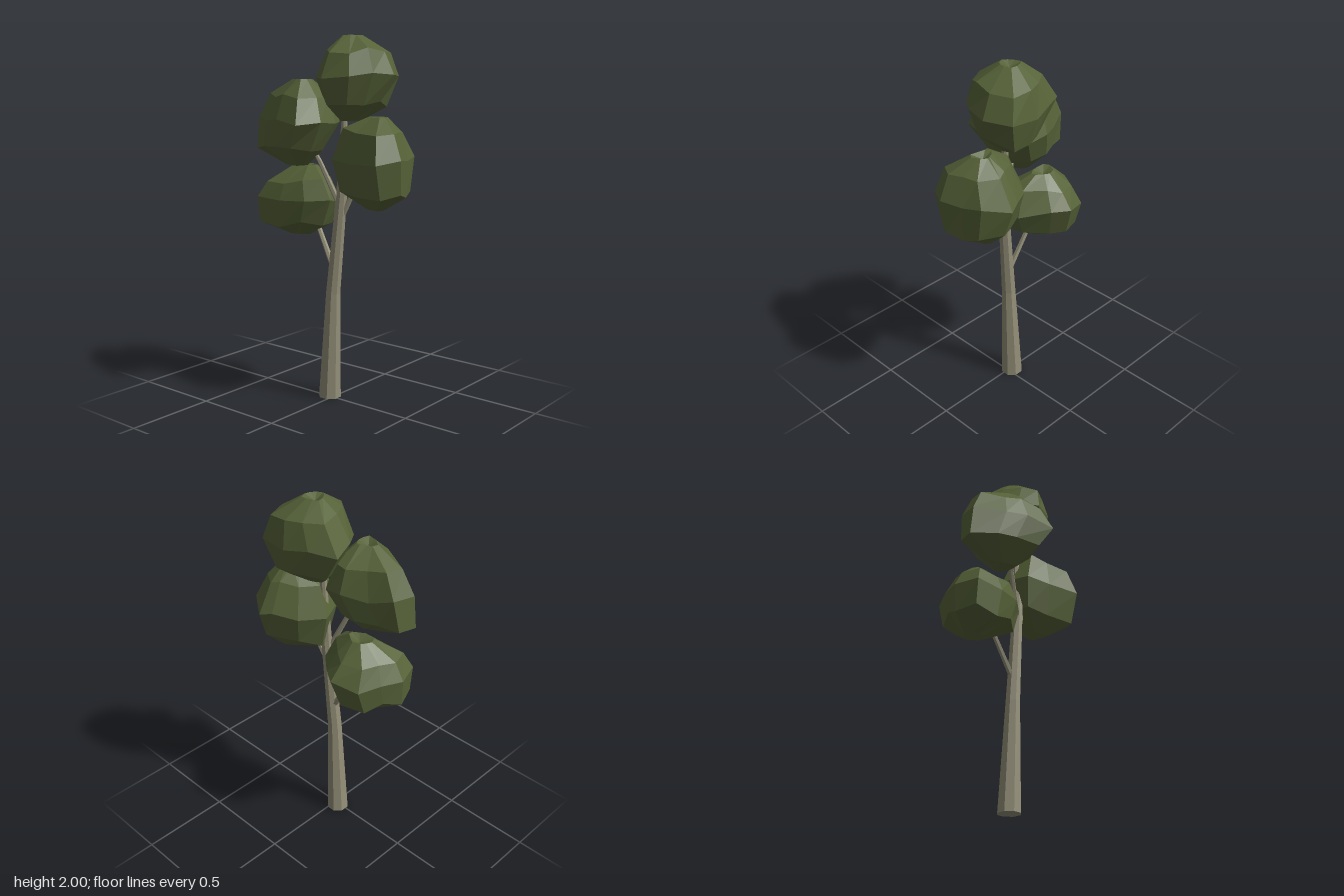
import * as THREE from 'three';

const leaf = new THREE.MeshStandardMaterial({ color: 0x566238, flatShading: true });
leaf.name = 'leaf green';
const bark = new THREE.MeshStandardMaterial({ color: 0x938f78, flatShading: true });
bark.name = 'grey bark';

// Skin a stack of equal-length rings, closed at both ends by the two pole points
function loft(rings, bottom, top) {
  const pos = [];
  const tri = (...pts) => pts.forEach((p) => pos.push(p.x, p.y, p.z));
  const n = rings[0].length, last = rings[rings.length - 1];
  for (let j = 0; j < n; j++) {
    const k = (j + 1) % n;
    tri(bottom, rings[0][j], rings[0][k]);
    tri(top, last[k], last[j]);
    for (let i = 0; i + 1 < rings.length; i++) {
      const lo = rings[i], hi = rings[i + 1];
      tri(lo[j], hi[j], lo[k]);
      tri(lo[k], hi[j], hi[k]);
    }
  }
  const geo = new THREE.BufferGeometry();
  geo.setAttribute('position', new THREE.Float32BufferAttribute(pos, 3));
  geo.computeVertexNormals();
  return geo;
}

// Tapered limb through [x, y, z, radius] stations
function limb(name, stations, sides) {
  const rings = stations.map(([x, y, z, r]) => Array.from({ length: sides }, (_, j) => {
    const a = ((j + 0.5) / sides) * Math.PI * 2;
    return new THREE.Vector3(x + r * Math.cos(a), y, z + r * Math.sin(a));
  }));
  const mid = ([x, y, z]) => new THREE.Vector3(x, y, z);
  const mesh = new THREE.Mesh(loft(rings, mid(stations[0]), mid(stations[stations.length - 1])), bark);
  mesh.name = name;
  return mesh;
}

// Leaf clump: plan outline [x, z] fitted into levels [y, xMin, xMax, zMin, zMax]
function clump(name, plan, levels, seed) {
  const rand = () => (seed = (seed * 16807) % 2147483647) / 2147483647 - 0.5;
  const xs = plan.map((p) => p[0]), zs = plan.map((p) => p[1]);
  const x0 = Math.min(...xs), z0 = Math.min(...zs);
  const w = Math.max(...xs) - x0, d = Math.max(...zs) - z0;
  const rings = levels.map(([y, xa, xb, za, zb], i) => plan.map(([x, z]) => {
    const isEnd = i === 0 || i === levels.length - 1;
    return new THREE.Vector3(
      xa + ((x - x0) / w) * (xb - xa),
      y + (isEnd ? 0 : rand() * 0.04),
      za + ((z - z0) / d) * (zb - za));
  }));
  // dimpled poles
  const pole = ([y, xa, xb, za, zb], dy) => new THREE.Vector3((xa + xb) / 2, y + dy, (za + zb) / 2);
  const mesh = new THREE.Mesh(
    loft(rings, pole(levels[0], 0.025), pole(levels[levels.length - 1], -0.025)), leaf);
  mesh.name = name;
  return mesh;
}

export function createModel() {
  const tree = new THREE.Group();
  tree.name = 'tree';

  // Trunk and branches
  tree.add(
    limb('trunk', [[-0.025, 0, -0.008, 0.064], [0, 0.6, -0.006, 0.041],
      [0.05, 1.16, -0.018, 0.031], [0.055, 1.65, -0.04, 0.014]], 8),
    limb('lowerRightBranch', [[0.005, 0.73, -0.01, 0.018], [-0.13, 0.97, -0.03, 0.014], [-0.22, 1.1, -0.05, 0.01]], 6),
    limb('upperRightBranch', [[0.04, 1.1, -0.01, 0.018], [-0.06, 1.34, 0.04, 0.014], [-0.15, 1.5, 0.08, 0.01]], 6),
    limb('leftBranch', [[0.045, 1.02, -0.015, 0.018], [0.1, 1.15, -0.04, 0.016], [0.2, 1.33, -0.08, 0.01]], 6));

  // Crown
  tree.add(clump('topFoliage',
    [[-0.18, -0.17], [-0.05, -0.24], [0.08, -0.28], [0.24, -0.27], [0.305, -0.135],
      [0.27, 0], [0.19, 0.1], [0.05, 0.155], [-0.05, 0.08], [-0.13, -0.03]],
    [[1.55, 0.01, 0.12, -0.12, 0], [1.64, -0.08, 0.23, -0.24, 0.12], [1.79, -0.18, 0.305, -0.28, 0.155],
      [1.92, -0.08, 0.25, -0.25, 0.12], [2, 0.01, 0.12, -0.13, -0.02]], 11));

  tree.add(clump('upperRightFoliage',
    [[-0.45, 0.12], [-0.42, 0], [-0.3, -0.05], [-0.17, -0.12], [-0.05, -0.1],
      [0.03, 0.03], [0.04, 0.16], [-0.01, 0.3], [-0.18, 0.265], [-0.3, 0.22]],
    [[1.31, -0.26, -0.12, 0.02, 0.14], [1.41, -0.45, -0.03, -0.08, 0.26], [1.55, -0.43, 0.05, -0.13, 0.3],
      [1.69, -0.36, 0, -0.09, 0.24], [1.77, -0.2, -0.09, 0.03, 0.14]], 23));

  tree.add(clump('leftFoliage',
    [[-0.01, -0.08], [0.08, -0.2], [0.2, -0.27], [0.265, -0.3], [0.39, -0.21],
      [0.42, -0.11], [0.46, 0.01], [0.39, 0.13], [0.19, 0.095], [0.05, 0.06]],
    [[1.085, 0.2, 0.3, -0.13, -0.02], [1.175, 0.025, 0.45, -0.25, 0.09], [1.35, -0.01, 0.462, -0.297, 0.135],
      [1.5, 0.06, 0.41, -0.21, 0.09], [1.575, 0.19, 0.31, -0.12, -0.03]], 37));

  tree.add(clump('lowerRightFoliage',
    [[-0.465, 0.02], [-0.42, -0.1], [-0.365, -0.21], [-0.22, -0.262], [-0.13, -0.2],
      [0, -0.08], [0.01, 0.03], [-0.1, 0.12], [-0.25, 0.155], [-0.42, 0.15]],
    [[0.905, -0.32, -0.2, -0.1, 0], [0.98, -0.455, -0.04, -0.21, 0.14], [1.12, -0.463, 0.01, -0.26, 0.155],
      [1.22, -0.41, -0.05, -0.19, 0.12], [1.3, -0.29, -0.15, -0.1, 0]], 53));

  return tree;
}
